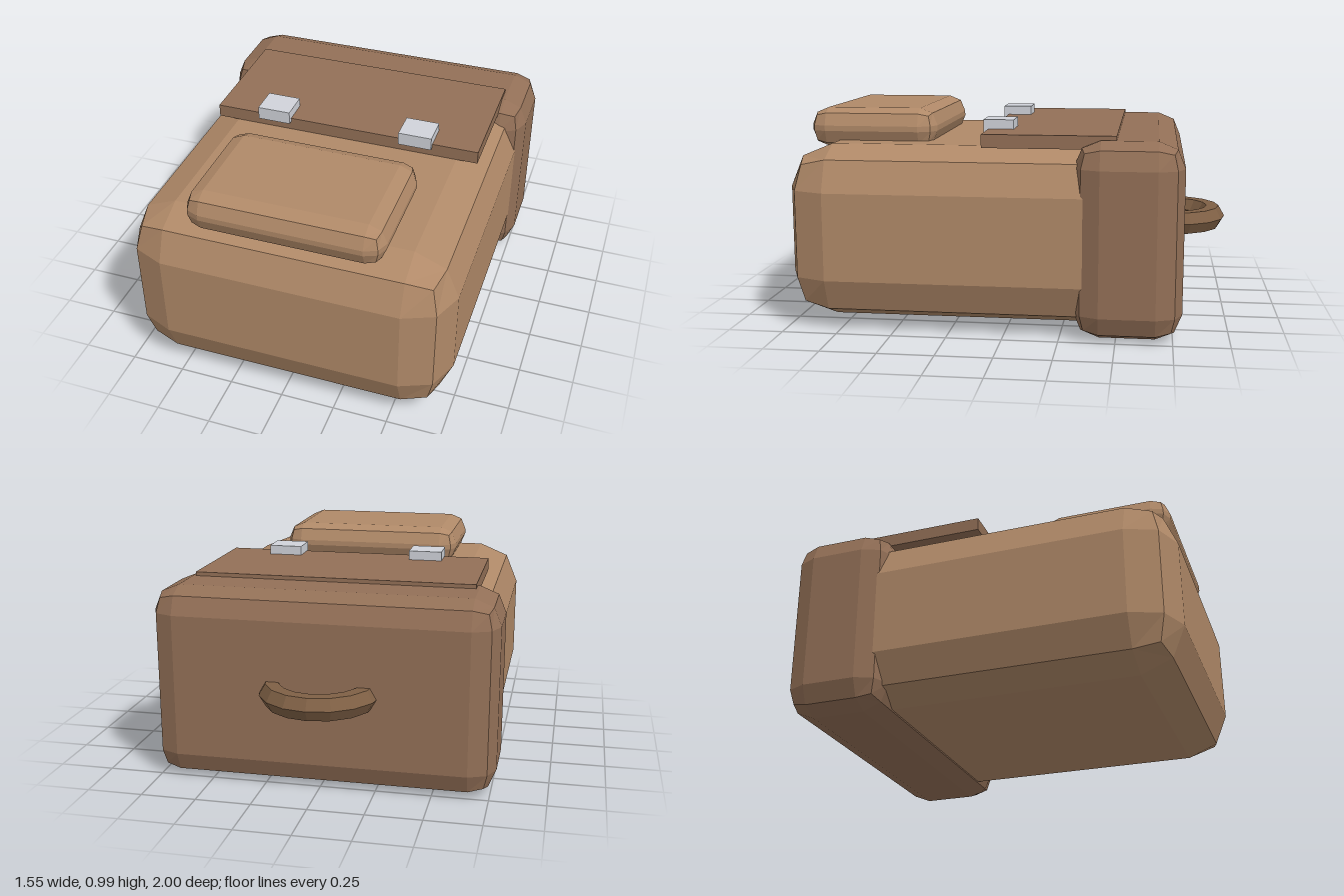
import * as THREE from 'three';
import { RoundedBoxGeometry } from 'three/addons/geometries/RoundedBoxGeometry.js';

const material = (color) => new THREE.MeshStandardMaterial({ color, flatShading: true });
const lightLeather = material(0xb08968);
const darkLeather = material(0x937057);
const strapLeather = material(0x7f6045);
const metal = material(0xd0d3da);

// Places a geometry so that it is centred between two corners
function addBetween(group, name, mat, min, max, radius = 0) {
  const size = max.map((v, i) => v - min[i]);
  const geometry = radius
    ? new RoundedBoxGeometry(...size, 1, radius)
    : new THREE.BoxGeometry(...size);
  const mesh = new THREE.Mesh(geometry, mat);
  mesh.name = name;
  mesh.position.set(...max.map((v, i) => (v + min[i]) / 2));
  group.add(mesh);
  return mesh;
}

export function createModel() {
  const backpack = new THREE.Group();
  backpack.name = 'backpack';

  // Main bag lying on its back, with the thicker lid section behind
  addBetween(backpack, 'body', lightLeather, [-0.745, 0.04, -0.6], [0.745, 0.837, 1], 0.2);
  addBetween(backpack, 'lid', darkLeather, [-0.775, 0, -0.79], [0.775, 0.88, -0.308], 0.117);

  // Pocket and closing flap on the upper face
  addBetween(backpack, 'pocket', lightLeather, [-0.447, 0.8, 0.35], [0.447, 0.985, 0.947], 0.08);
  addBetween(backpack, 'flap', darkLeather, [-0.645, 0.838, -0.492], [0.645, 0.898, 0.102]);

  // Pair of buckles over the flap edge
  for (const [side, name] of [[1, 'leftBuckle'], [-1, 'rightBuckle']]) {
    const x = side * 0.349;
    addBetween(backpack, name, metal, [x - 0.079, 0.88, -0.015], [x + 0.079, 0.941, 0.125]);
  }

  // Carrying loop: half ring with a six-sided section
  const handle = new THREE.Mesh(new THREE.TorusGeometry(0.215, 0.058, 6, 8, Math.PI), strapLeather);
  handle.name = 'handle';
  handle.rotation.x = -Math.PI / 2;
  handle.position.set(0, 0.44, -0.727);
  backpack.add(handle);

  return backpack;
}
